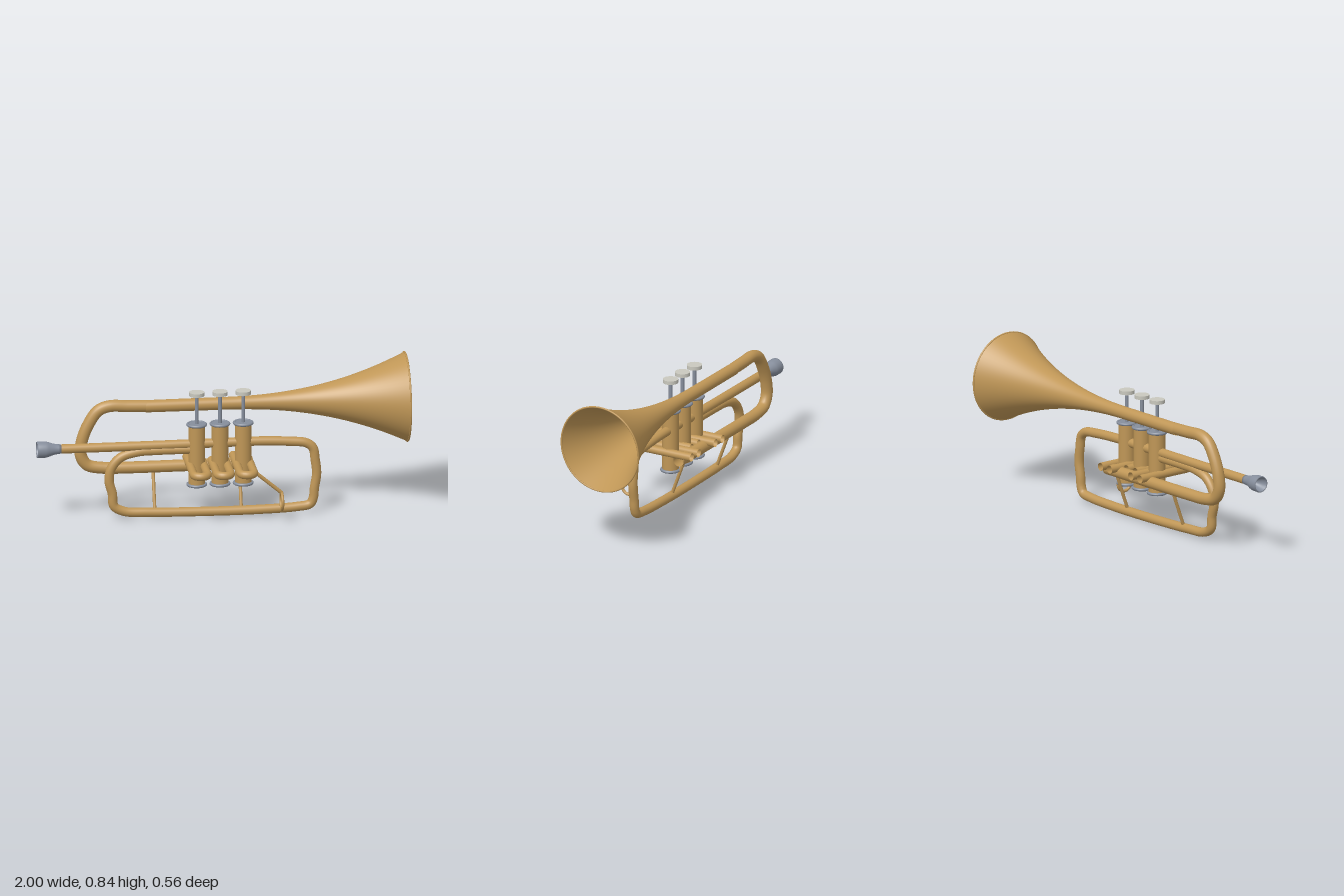
import * as THREE from 'three';

const mat = (name, color, side = THREE.FrontSide) =>
  Object.assign(new THREE.MeshStandardMaterial({ color, side }), { name });

export function createModel() {
  const group = new THREE.Group();
  const brass = mat('brass', 0xbf9656, THREE.DoubleSide);
  const steel = mat('steel', 0x868e9c, THREE.DoubleSide);
  const pearl = mat('pearl', 0xc9c8be);
  const V = (x, y, z) => new THREE.Vector3(x, y, z);

  const add = (name, geometry, material, x = 0, y = 0, z = 0) => {
    const mesh = new THREE.Mesh(geometry, material);
    mesh.name = name;
    mesh.position.set(x, y, z);
    group.add(mesh);
    return mesh;
  };
  // smooth tube through points
  const tube = (name, points, radius, segments = 160) => add(name,
    new THREE.TubeGeometry(new THREE.CatmullRomCurve3(points), segments, radius, 20), brass);
  // straight rod between two points
  const rod = (name, a, b, radius) => add(name,
    new THREE.TubeGeometry(new THREE.LineCurve3(a, b), 1, radius, 14), brass);
  // lathe profile of [radius, x] turned about a horizontal axis
  const turned = (name, profile, material, y, z) => {
    const geo = new THREE.LatheGeometry(profile.map(p => new THREE.Vector2(p[0], p[1])), 64);
    geo.rotateZ(-Math.PI / 2);
    return add(name, geo, material, 0, y, z);
  };

  const bellY = 0.605, bellZ = -0.038, pipeZ = 0.047;

  // Flaring bell and its rim
  const flare = [[0.033, -0.405]];
  for (let i = 0; i <= 32; i++) {
    const t = i / 32;
    flare.push([0.034 + 0.206 * Math.pow(t, 2.3), -0.0 + t * 0.996]);
  }
  turned('bell', flare, brass, bellY, bellZ);
  const rim = add('bellRim', new THREE.TorusGeometry(0.238, 0.005, 10, 72), brass, 0.995, bellY, bellZ);
  rim.rotation.y = Math.PI / 2;

  // Bow from the bell round to the valves
  tube('bellBow', [
    [-0.4, 0.607], [-0.5, 0.61], [-0.6, 0.613], [-0.66, 0.59], [-0.715, 0.51], [-0.748, 0.42],
    [-0.753, 0.345], [-0.72, 0.29], [-0.64, 0.27], [-0.5, 0.266], [-0.2, 0.266], [0.17, 0.268],
  ].map(([x, y]) => V(x, y, bellZ)), 0.032);

  // Lead pipe and long main slide
  tube('leadPipe', [
    [-0.88, 0.411], [-0.5, 0.411], [0, 0.413], [0.2, 0.414], [0.36, 0.406], [0.45, 0.394],
    [0.485, 0.365], [0.497, 0.3], [0.505, 0.22], [0.493, 0.14], [0.487, 0.085], [0.47, 0.052],
    [0.4, 0.039], [0.2, 0.031], [-0.1, 0.031], [-0.4, 0.038], [-0.53, 0.048], [-0.585, 0.08],
    [-0.594, 0.15], [-0.611, 0.22], [-0.6, 0.29], [-0.55, 0.35], [-0.46, 0.378], [-0.35, 0.383],
    [-0.15, 0.383],
  ].map(([x, y]) => V(x, y, pipeZ)), 0.025, 300);

  // Mouthpiece with hollow cup
  turned('mouthpiece', [
    [0.008, -0.92], [0.022, -0.95], [0.034, -0.975], [0.038, -0.998], [0.043, -1], [0.045, -0.993],
    [0.044, -0.955], [0.04, -0.938], [0.03, -0.91], [0.026, -0.885], [0.025, -0.87], [0.001, -0.87],
  ], steel, 0.411, pipeZ);

  // Three valves with pistons and U-shaped slides
  [-0.14, -0.015, 0.11].forEach((x, i) => {
    add('valveCasing', new THREE.CylinderGeometry(0.045, 0.045, 0.34, 32), brass, x, 0.35, pipeZ);
    for (const y of [0.185, 0.52]) {
      const ring = add('valveRing', new THREE.TorusGeometry(0.048, 0.008, 10, 36), steel, x, y, pipeZ);
      ring.rotation.x = Math.PI / 2;
    }
    add('valveCap', new THREE.CylinderGeometry(0.042, 0.042, 0.006, 32), steel, x, 0.522, pipeZ);
    add('pistonStem', new THREE.CylinderGeometry(0.01, 0.01, 0.17, 16), steel, x, 0.6, pipeZ);
    add('pistonButton', new THREE.CylinderGeometry(0.041, 0.041, 0.02, 32), pearl, x, 0.691, pipeZ);

    const back = i === 1 ? -0.03 : -0.106, half = 0.037, bendZ = 0.222;
    const points = [V(x - half, 0.293, back), V(x - half, 0.293, 0.05), V(x - half, 0.293, 0.15)];
    for (let k = 0; k <= 8; k++) {
      const a = Math.PI * (1 - k / 8);
      points.push(V(x + half * Math.cos(a), 0.293, bendZ + half * Math.sin(a)));
    }
    points.push(V(x + half, 0.293, 0.15), V(x + half, 0.293, 0.05), V(x + half, 0.293, back));
    tube('valveSlide', points, 0.022, 90);
  });

  // Slanting braces between bow and lower slide
  for (const x of [-0.365, 0.1]) rod('brace', V(x, 0.262, bellZ), V(x, 0.035, pipeZ), 0.009);

  // Finger hook
  rod('fingerHookArm', V(0.155, 0.29, 0.202), V(0.3, 0.165, 0.191), 0.01);
  const hook = add('fingerRing', new THREE.TorusGeometry(0.045, 0.008, 12, 40), brass, 0.3, 0.119, 0.191);
  hook.rotation.y = Math.PI / 2;

  return group;
}
